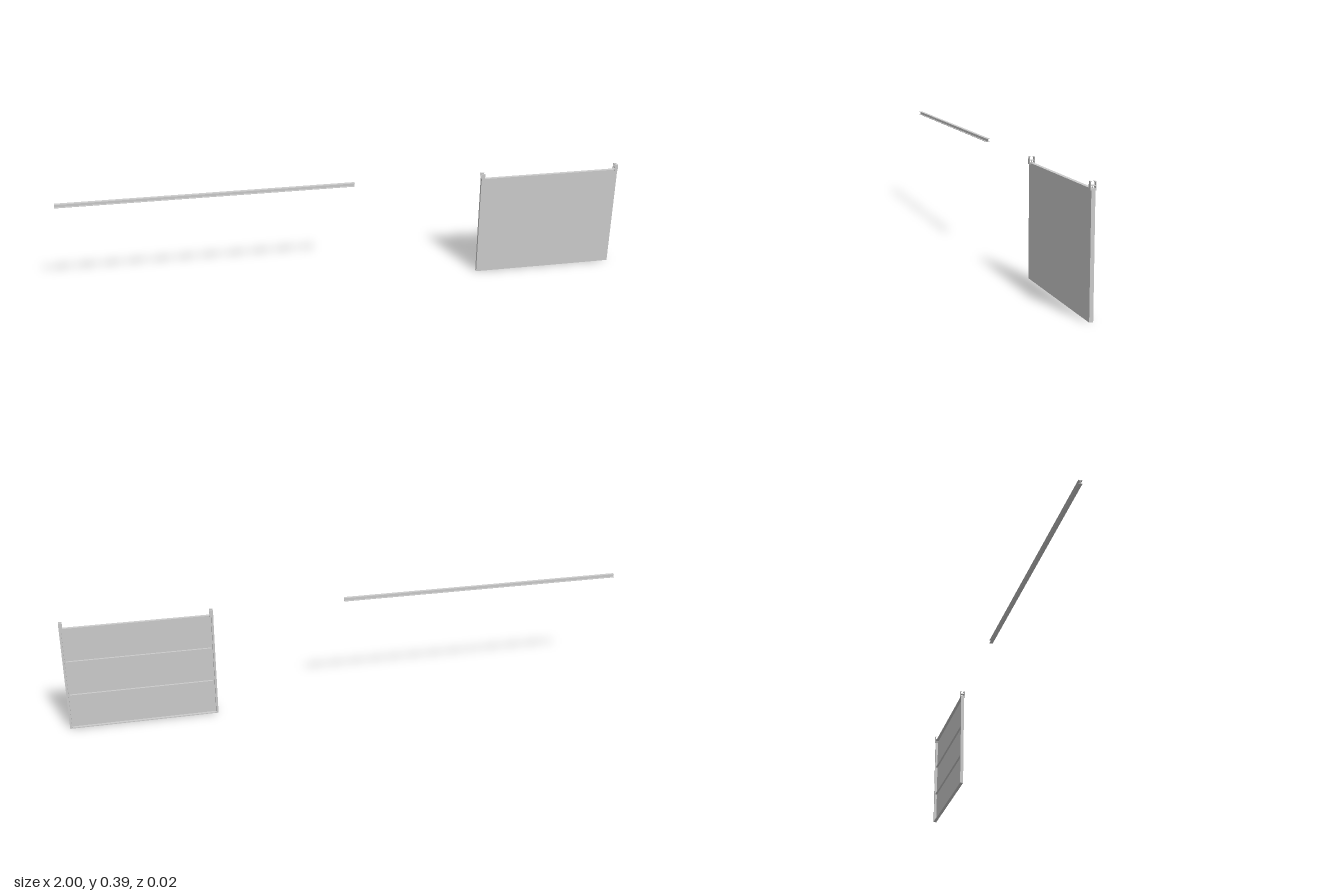
import * as THREE from 'three';

const material = new THREE.MeshStandardMaterial({ color: 0xcccccc, flatShading: true });

// Box given by its limits on each axis
function slab(parent, name, [x0, x1], [y0, y1], [z0, z1]) {
  const mesh = new THREE.Mesh(new THREE.BoxGeometry(x1 - x0, y1 - y0, z1 - z0), material);
  mesh.position.set((x0 + x1) / 2, (y0 + y1) / 2, (z0 + z1) / 2);
  mesh.name = name;
  parent.add(mesh);
}

function createRail() {
  // Straight track with an I-shaped section
  const rail = new THREE.Group();
  rail.name = 'rail';
  const span = [-1, 0.026];
  slab(rail, 'railTopFlange', span, [0.3915, 0.393], [-0.006, 0.006]);
  slab(rail, 'railWeb', span, [0.382, 0.3915], [-0.0007, 0.0007]);
  slab(rail, 'railBottomFlange', span, [0.3805, 0.382], [-0.006, 0.006]);
  return rail;
}

function createGate() {
  const gate = new THREE.Group();
  gate.name = 'gate';
  const left = 0.487, right = 1, top = 0.373, rim = 0.007;
  const depth = [-0.006, 0.0045];

  // Front sheet with a rim standing out behind it
  slab(gate, 'frontSheet', [left, right], [0, top], [0.0045, 0.006]);
  slab(gate, 'bottomRim', [left + rim, right - rim], [0, 0.003], depth);
  slab(gate, 'topRim', [left + rim, right - rim], [top - 0.003, top], depth);
  slab(gate, 'sideRim', [left, left + rim], [0, top], depth);
  slab(gate, 'sideRim', [right - rim, right], [0, top], depth);

  // Stiffeners at the thirds of the back
  for (const t of [1 / 3, 2 / 3]) {
    slab(gate, 'backRib', [left + 0.012, right - 0.012],
      [top * t - 0.0015, top * t + 0.0015], [-0.003, 0.0045]);
  }

  // Hangers at both upper corners
  for (const x of [left, right - 0.012]) {
    const hanger = new THREE.Group();
    hanger.name = 'hanger';
    const w = [x, x + 0.012];
    for (const s of [-1, 1]) {
      const outer = [0.007 * s, 0.009 * s].sort((a, b) => a - b);
      const lip = [0.0045 * s, 0.007 * s].sort((a, b) => a - b);
      slab(hanger, 'hangerCheek', w, [0.368, 0.393], outer);
      slab(hanger, 'hangerLip', w, [0.3915, 0.393], lip);
    }
    slab(hanger, 'hangerBase', w, [0.368, 0.374], [-0.007, 0.007]);
    slab(hanger, 'hangerShelf', w, [0.3805, 0.382], [-0.007, 0.007]);
    // Post joining base and shelf
    const post = new THREE.Mesh(new THREE.CylinderGeometry(0.0012, 0.0012, 0.008, 8), material);
    post.position.set(x + 0.006, 0.377, 0);
    post.name = 'hangerPost';
    hanger.add(post);
    gate.add(hanger);
  }
  return gate;
}

export function createModel() {
  const model = new THREE.Group();
  model.name = 'slidingGate';
  model.add(createRail(), createGate());
  return model;
}
